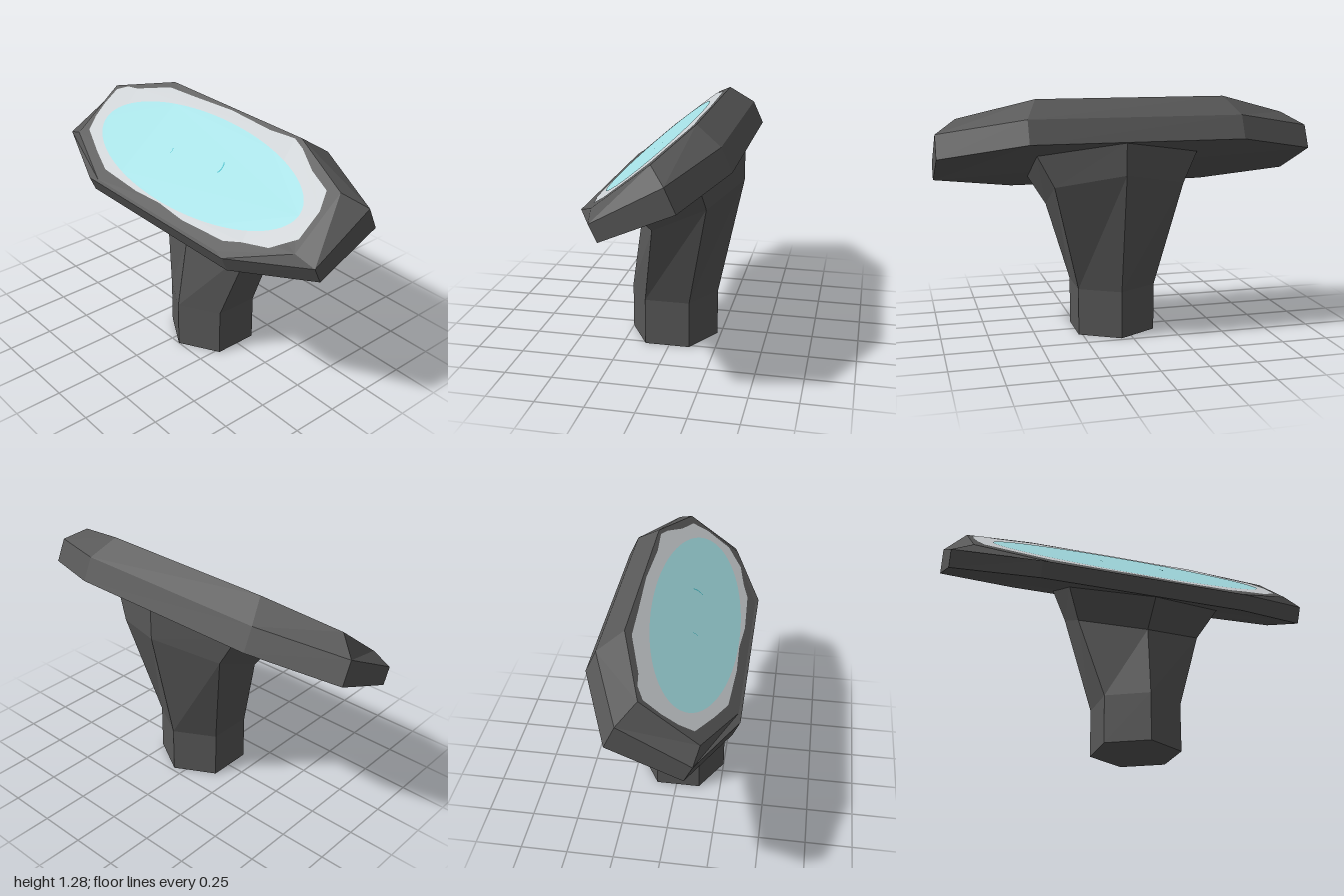
import * as THREE from 'three';

const mat = (name, color) => {
  const m = new THREE.MeshStandardMaterial({ color });
  m.name = name;
  return m;
};

// Skin a stack of rings (anticlockwise seen from above) and cap both ends, with flat facets
function loft(rings) {
  const pos = [];
  const tri = (a, b, c) => pos.push(...a, ...b, ...c);
  const n = rings[0].length;
  for (let r = 0; r < rings.length - 1; r++) {
    const a = rings[r], b = rings[r + 1];
    for (let i = 0; i < n; i++) {
      const j = (i + 1) % n;
      tri(a[i], a[j], b[j]);
      tri(a[i], b[j], b[i]);
    }
  }
  const top = rings[rings.length - 1], bottom = rings[0];
  for (let i = 1; i < n - 1; i++) {
    tri(top[0], top[i], top[i + 1]);
    tri(bottom[0], bottom[i + 1], bottom[i]);
  }
  const g = new THREE.BufferGeometry();
  g.setAttribute('position', new THREE.Float32BufferAttribute(pos, 3));
  g.computeVertexNormals();
  return g;
}

// Mirrored octagon from [x, y, z] corners: side front, side back, rear, front
function octagon(sideFront, sideBack, rear, front) {
  const flip = ([x, y, z]) => [-x, y, z];
  return [sideFront, sideBack, rear, flip(rear), flip(sideBack), flip(sideFront), flip(front), front];
}

// Hexagon with points to front and rear; each corner is [y, z]
function hexagon(cx, halfWidth, front, sideFront, sideBack, rear) {
  return [
    [cx, ...front],
    [cx + halfWidth, ...sideFront],
    [cx + halfWidth, ...sideBack],
    [cx, ...rear],
    [cx - halfWidth, ...sideBack],
    [cx - halfWidth, ...sideFront],
  ];
}

export function createModel() {
  const model = new THREE.Group();
  const stone = mat('dark stone', 0x585858);
  const frost = mat('pale rim', 0xcbcfd2);
  const water = mat('pale water', 0xa4dee3);
  const teal = mat('teal ripple', 0x3fb6c0);
  const add = (parent, name, geometry, material) => {
    const mesh = new THREE.Mesh(geometry, material);
    mesh.name = name;
    parent.add(mesh);
    return mesh;
  };

  // Hexagonal stem leaning back and flaring into the slab
  const foot = (y) => hexagon(0.06, 0.21, [y, 0.25], [y, 0.13], [y, -0.11], [y, -0.23]);
  add(model, 'stem', loft([
    foot(0),
    foot(0.255),
    hexagon(0.068, 0.345, [0.635, 0.195], [0.70, 0.055], [0.83, -0.225], [0.90, -0.365]),
    hexagon(0.068, 0.43, [0.775, 0.33], [0.845, 0.16], [0.995, -0.195], [1.07, -0.365]),
  ]), stone);

  // Tilted octagonal slab with a bevelled upper edge
  add(model, 'slab', loft([
    octagon([1, 0.835, 0.16], [1, 0.99, -0.20], [0.56, 1.07, -0.375], [0.56, 0.76, 0.34]),
    octagon([1, 0.92, 0.20], [1, 1.11, -0.145], [0.56, 1.19, -0.32], [0.56, 0.84, 0.375]),
    octagon([0.89, 0.958, 0.22], [0.89, 1.178, -0.06], [0.5, 1.28, -0.19], [0.5, 0.848, 0.36]),
  ]), stone);

  // Painted layers lying on the slope of the slab
  const face = new THREE.Group();
  face.name = 'slabFace';
  face.position.set(0, 1.06, 0.09);
  face.rotation.x = -0.905;
  model.add(face);

  const slope = 1.618; // distance along the slope per unit of height
  const outline = [
    [-0.87, 1.10], [-0.863, 1.165], [-0.8, 1.192], [-0.72, 1.2], [-0.5, 1.255], [-0.3, 1.26],
    [0, 1.27], [0.3, 1.262], [0.47, 1.27], [0.55, 1.25], [0.68, 1.2], [0.82, 1.165],
    [0.86, 1.1], [0.86, 1.0], [0.8, 0.965], [0.75, 0.935], [0.6, 0.91], [0.5, 0.885],
    [0.2, 0.875], [0, 0.885], [-0.2, 0.88], [-0.5, 0.89], [-0.65, 0.93], [-0.83, 0.985], [-0.86, 1.04],
  ].map(([x, y]) => new THREE.Vector2(x, (y - 1.06) * slope));
  add(face, 'paleRim', new THREE.ShapeGeometry(new THREE.Shape(outline)), frost).position.z = 0.003;

  const pool = new THREE.Shape().absellipse(0.005, 0, 0.775, 0.275, 0, Math.PI * 2);
  add(face, 'water', new THREE.ShapeGeometry(pool, 48), water).position.z = 0.006;

  // Small ripples on the water
  for (const [x, y, r] of [[0.15, 0.03, 0.06], [-0.19, -0.01, 0.03]]) {
    const ripple = new THREE.RingGeometry(r * 0.88, r, 12, 1, -0.5, 1.2);
    add(face, 'ripple', ripple, teal).position.set(x, y, 0.009);
  }
  return model;
}
